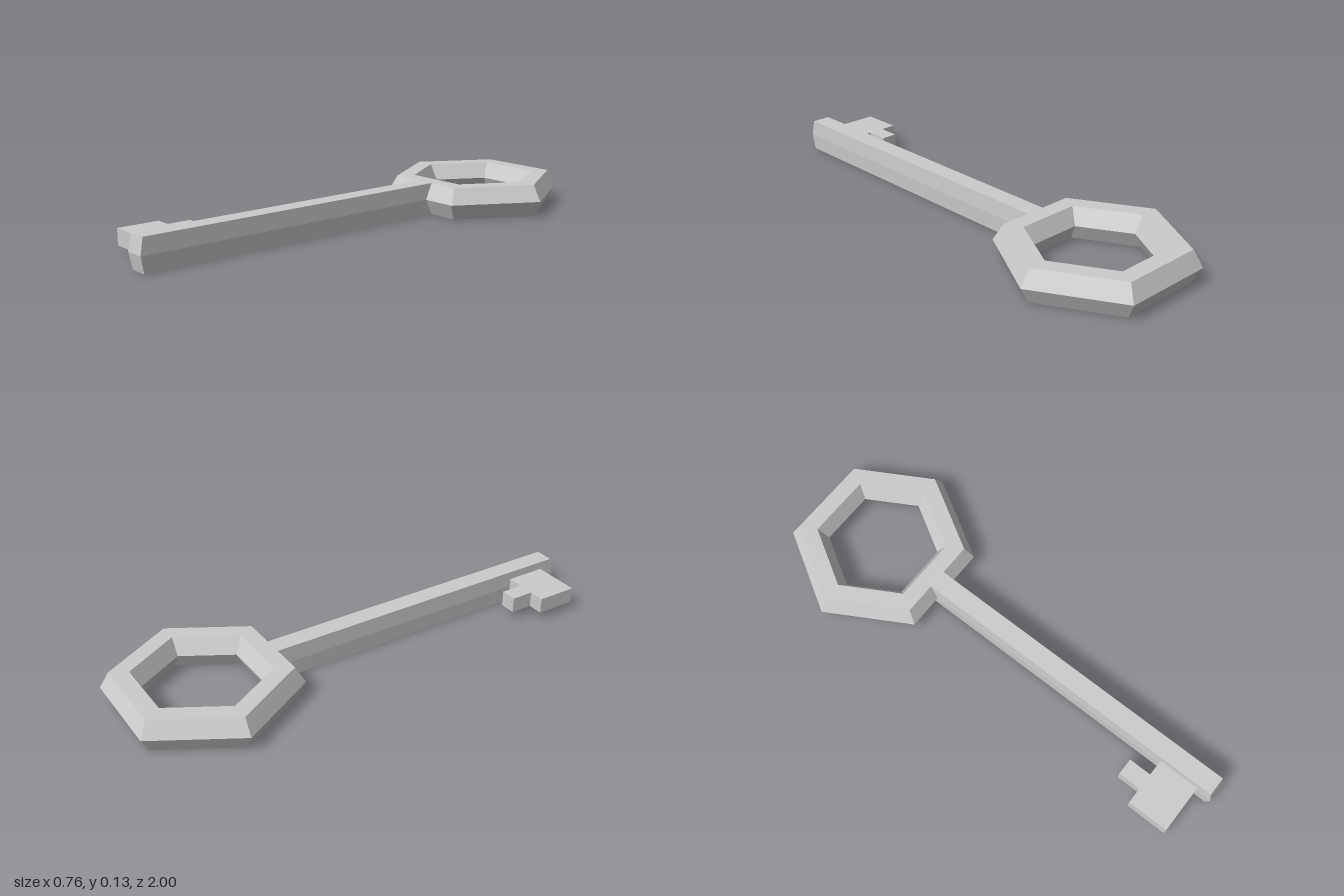
import * as THREE from 'three';

const HALF = 0.0665; // half thickness of the bow and shaft

export function createModel() {
  const key = new THREE.Group();
  key.name = 'key';
  const material = new THREE.MeshStandardMaterial({ color: 0xcccccc, flatShading: true });
  const add = (name, geometry, x, y, z) => {
    const mesh = new THREE.Mesh(geometry, material);
    mesh.name = name;
    mesh.position.set(x, y, z);
    key.add(mesh);
    return mesh;
  };

  // Bow: hexagonal ring with a hexagonal cross-section
  const bow = new THREE.TorusGeometry(0.304, HALF / Math.sin(Math.PI / 3), 6, 6);
  bow.rotateX(-Math.PI / 2);
  add('bow', bow, 0, HALF, -0.67);

  // Shaft: bar with slightly ridged sides and a ridged tip, rooted inside the bow
  const back = -0.4, length = 1 - back;
  const shaft = new THREE.BoxGeometry(0.086, 2 * HALF, length, 1, 2, 1);
  const p = shaft.attributes.position;
  for (let i = 0; i < p.count; i++) {
    if (Math.abs(p.getY(i)) < 0.01) continue;
    p.setX(i, p.getX(i) * 0.92);
    if (p.getZ(i) > 0) p.setZ(i, p.getZ(i) - 0.013);
  }
  shaft.computeVertexNormals();
  add('shaft', shaft, 0, HALF, back + length / 2);

  // Bit: flat plate with one tooth pointing back to the bow (outline as x, -z)
  const outline = [
    [-0.02, -0.933], [-0.02, -0.763], [-0.109, -0.763], [-0.109, -0.669],
    [-0.178, -0.669], [-0.178, -0.763], [-0.244, -0.763], [-0.244, -0.933],
  ].map(([x, y]) => new THREE.Vector2(x, y));
  const bit = new THREE.ExtrudeGeometry(new THREE.Shape(outline), { depth: 0.065, bevelEnabled: false });
  bit.rotateX(-Math.PI / 2);
  add('bit', bit, 0, 0.035, 0);

  return key;
}
